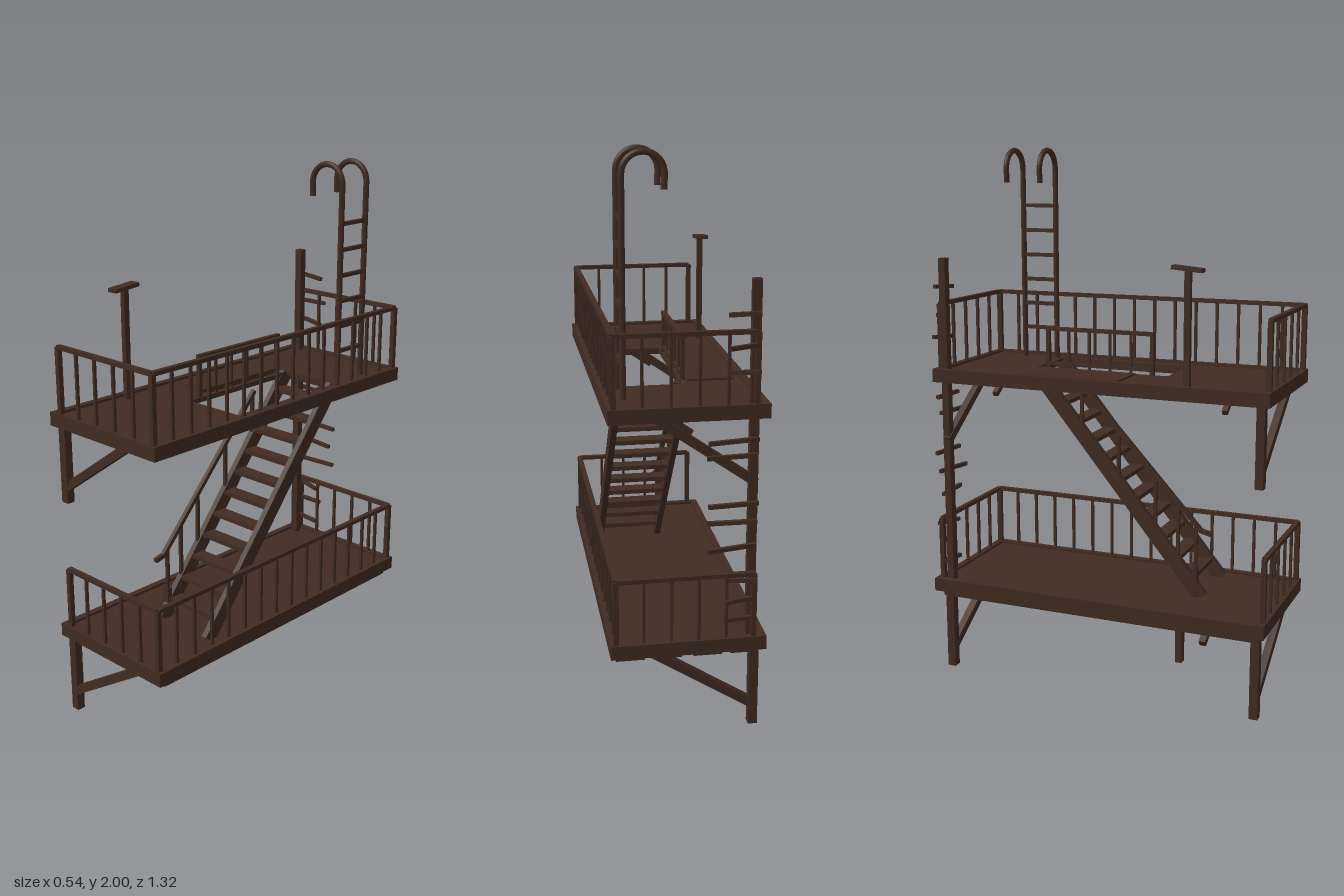
import * as THREE from 'three';

export function createModel() {
  const root = new THREE.Group();
  root.name = 'fireEscape';
  const iron = new THREE.MeshStandardMaterial({ color: 0x412c22 });
  iron.name = 'rustyBrownIron';
  const V = (x, y, z) => new THREE.Vector3(x, y, z);

  const group = (name, parent = root) => {
    const g = new THREE.Group();
    g.name = name;
    parent.add(g);
    return g;
  };
  const add = (parent, name, geo, x = 0, y = 0, z = 0) => {
    const m = new THREE.Mesh(geo, iron);
    m.name = name;
    m.position.set(x, y, z);
    parent.add(m);
    return m;
  };
  // Box given by its extents
  const block = (parent, name, x0, x1, y0, y1, z0, z1) =>
    add(parent, name, new THREE.BoxGeometry(x1 - x0, y1 - y0, z1 - z0),
      (x0 + x1) / 2, (y0 + y1) / 2, (z0 + z1) / 2);
  // Square bar running between two points
  const bar = (parent, name, a, b, w, h = w) => {
    const m = add(parent, name, new THREE.BoxGeometry(w, h, a.distanceTo(b)));
    m.position.copy(a).add(b).multiplyScalar(0.5);
    if (Math.abs(b.x - a.x) + Math.abs(b.z - a.z) < 1e-6) m.rotation.x = Math.PI / 2;
    else m.lookAt(b);
    return m;
  };

  // Platform: deck plate, edge beams and joists, with an optional stairwell
  function platform(name, y, zBack, well) {
    const g = group(name);
    const shape = new THREE.Shape();
    shape.moveTo(-0.25, -0.65).lineTo(0.25, -0.65).lineTo(0.25, -zBack - 0.02).lineTo(-0.25, -zBack - 0.02).closePath();
    if (well) {
      const hole = new THREE.Path();
      hole.moveTo(-0.03, -0.22).lineTo(-0.03, 0.31).lineTo(0.21, 0.31).lineTo(0.21, -0.22).closePath();
      shape.holes.push(hole);
    }
    const deck = add(g, 'deck', new THREE.ExtrudeGeometry(shape, { depth: 0.018, bevelEnabled: false }), 0, y - 0.028, 0);
    deck.rotation.x = -Math.PI / 2;
    for (const s of [-1, 1]) block(g, 'sideBeam', s * 0.2575 - 0.0125, s * 0.2575 + 0.0125, y - 0.05, y, zBack, 0.67);
    block(g, 'frontBeam', -0.245, 0.245, y - 0.05, y, 0.645, 0.67);
    block(g, 'backBeam', -0.245, 0.245, y - 0.05, y, zBack, zBack + 0.025);
    for (const z of [0.5, 0.3, -0.36, -0.5]) block(g, 'joist', -0.245, 0.245, y - 0.05, y - 0.028, z - 0.015, z + 0.015);
  }

  // Railing around the front, left and back edges
  function railing(name, y0, y1, zBack, count) {
    const g = group(name);
    const xr = 0.25, xl = -0.225, zf = 0.655;
    const corners = [V(xl, y1, zf), V(xr, y1, zf), V(xr, y1, zBack), V(xl, y1, zBack)];
    const counts = [5, count, 5];
    counts.forEach((n, i) => {
      const a = corners[i], b = corners[i + 1];
      bar(g, 'topRail', a, b, 0.018, 0.015);
      for (let k = 0; k <= n; k++) {
        const p = a.clone().lerp(b, k / n), end = k === 0 || k === n;
        bar(g, end ? 'cornerPost' : 'baluster', V(p.x, y0, p.z), p, end ? 0.018 : 0.01);
      }
    });
  }

  platform('lowerPlatform', 0.362, -0.65, false);
  platform('upperPlatform', 1.19, -0.63, true);
  railing('lowerRailing', 0.34, 0.593, -0.635, 15);
  railing('upperRailing', 1.17, 1.43, -0.615, 15);

  // Planks below the lower deck and the hatch on the upper deck
  const extras = group('deckDetails');
  for (const x of [-0.2, -0.07, 0.07, 0.2]) block(extras, 'underPlank', x - 0.05, x + 0.05, 0.29, 0.314, -0.62, 0.63);
  block(extras, 'hatchPanel', -0.22, -0.05, 1.178, 1.187, -0.28, 0.1);

  // Wall posts and diagonal braces
  const supports = group('supports');
  for (const z of [0.635, -0.595]) {
    block(supports, 'leg', -0.253, -0.22, 0, 0.33, z - 0.016, z + 0.016);
    bar(supports, 'lowerBrace', V(-0.23, 0.08, z), V(0.17, 0.335, z), 0.028, 0.032);
    bar(supports, 'upperBrace', V(-0.23, 0.91, z), V(0.12, 1.155, z), 0.026, 0.03);
  }
  block(supports, 'upperLeg', -0.253, -0.22, 0.85, 1.16, 0.62, 0.65);
  block(supports, 'shortPost', -0.23, -0.2, 0.16, 0.33, 0.33, 0.355);
  bar(supports, 'shortBrace', V(-0.11, 0.195, 0.395), V(0.1, 0.33, 0.395), 0.025);
  for (const z of [0.44, -0.495]) bar(supports, 'upperShortBrace', V(-0.03, 1.06, z), V(0.1, 1.15, z), 0.02);

  // Stairs
  const stairs = group('stairs');
  const zAt = y => 0.365 - (y - 0.35) / 1.215;
  for (const x of [-0.04, 0.197]) bar(stairs, 'stringer', V(x, 0.35, zAt(0.35)), V(x, 1.17, zAt(1.17)), 0.022, 0.055);
  for (let i = 0; i < 11; i++) {
    const y = 0.42 + 0.07 * i, z = zAt(y);
    block(stairs, 'tread', -0.03, 0.19, y - 0.008, y + 0.008, z - 0.028, z + 0.028);
  }
  bar(stairs, 'handrail', V(-0.04, 0.61, 0.36), V(-0.04, 1.14, -0.13), 0.016);
  bar(stairs, 'handrailEnd', V(-0.04, 0.6, 0.4), V(-0.04, 0.61, 0.355), 0.016);
  for (const z of [0.34, 0.27, 0.18, 0.03, -0.12]) {
    const top = 0.61 + (0.36 - z) * 1.082, foot = 0.35 + (0.365 - z) * 1.215;
    bar(stairs, 'handrailPost', V(-0.04, foot, z), V(-0.04, top, z), 0.012);
  }
  block(stairs, 'newelBlock', -0.055, -0.03, 0.35, 0.47, 0.33, 0.35);

  // Guard rail beside the stairwell
  const guard = group('stairwellGuard');
  bar(guard, 'guardTopRail', V(-0.04, 1.333, 0.17), V(-0.04, 1.333, -0.265), 0.018, 0.014);
  bar(guard, 'guardBottomRail', V(-0.04, 1.2, 0.17), V(-0.04, 1.2, -0.265), 0.012);
  for (let i = 0; i <= 5; i++) {
    const z = 0.163 - i * 0.084;
    bar(guard, 'guardPost', V(-0.04, 1.18, z), V(-0.04, 1.333, z), i % 5 ? 0.009 : 0.015);
  }

  // Roof ladder with hooked tops
  const ladder = group('roofLadder');
  const hook = new THREE.CurvePath();
  hook.add(new THREE.LineCurve3(V(0.2, 1.17, 0), V(0.2, 1.92, 0)));
  const arc = [];
  for (let i = 0; i <= 12; i++) {
    const t = Math.PI * i / 12;
    arc.push(V(0.13 + 0.07 * Math.cos(t), 1.92 + 0.07 * Math.sin(t), 0));
  }
  hook.add(new THREE.CatmullRomCurve3(arc));
  hook.add(new THREE.LineCurve3(V(0.06, 1.92, 0), V(0.062, 1.87, 0)));
  const hookGeo = new THREE.TubeGeometry(hook, 72, 0.011, 8);
  const capGeo = new THREE.CircleGeometry(0.011, 8).rotateX(Math.PI / 2);
  for (const z of [-0.335, -0.475]) {
    add(ladder, 'hookedRail', hookGeo, 0, 0, z);
    add(ladder, 'railCap', capGeo, 0.062, 1.87, z);
  }
  for (let i = 0; i < 6; i++) bar(ladder, 'rung', V(0.2, 1.3 + i * 0.096, -0.335), V(0.2, 1.3 + i * 0.096, -0.475), 0.014);

  // Climbing pole at the back corner with uneven rungs
  const pole = group('climbingPole');
  block(pole, 'pole', -0.235, -0.205, 0.3, 1.6, -0.612, -0.585);
  [0.42, 0.5, 0.57, 0.69, 0.78, 0.85, 1.01, 1.07, 1.3, 1.385, 1.49].forEach((y, i) => {
    const low = y > 0.6 && y < 1.2;
    bar(pole, 'poleRung', V(-0.23, y + 0.003, -0.622 - (i % 3) * 0.012),
      V(low ? -0.06 : -0.125, y - 0.003, -0.618 - (i % 2) * 0.028), 0.014);
  });

  // T-shaped post on the upper deck
  const stand = group('lampPost');
  block(stand, 'lampStem', -0.225, -0.205, 1.17, 1.59, 0.347, 0.369);
  bar(stand, 'lampTop', V(-0.218, 1.587, 0.413), V(-0.218, 1.597, 0.303), 0.042, 0.014);

  return root;
}
